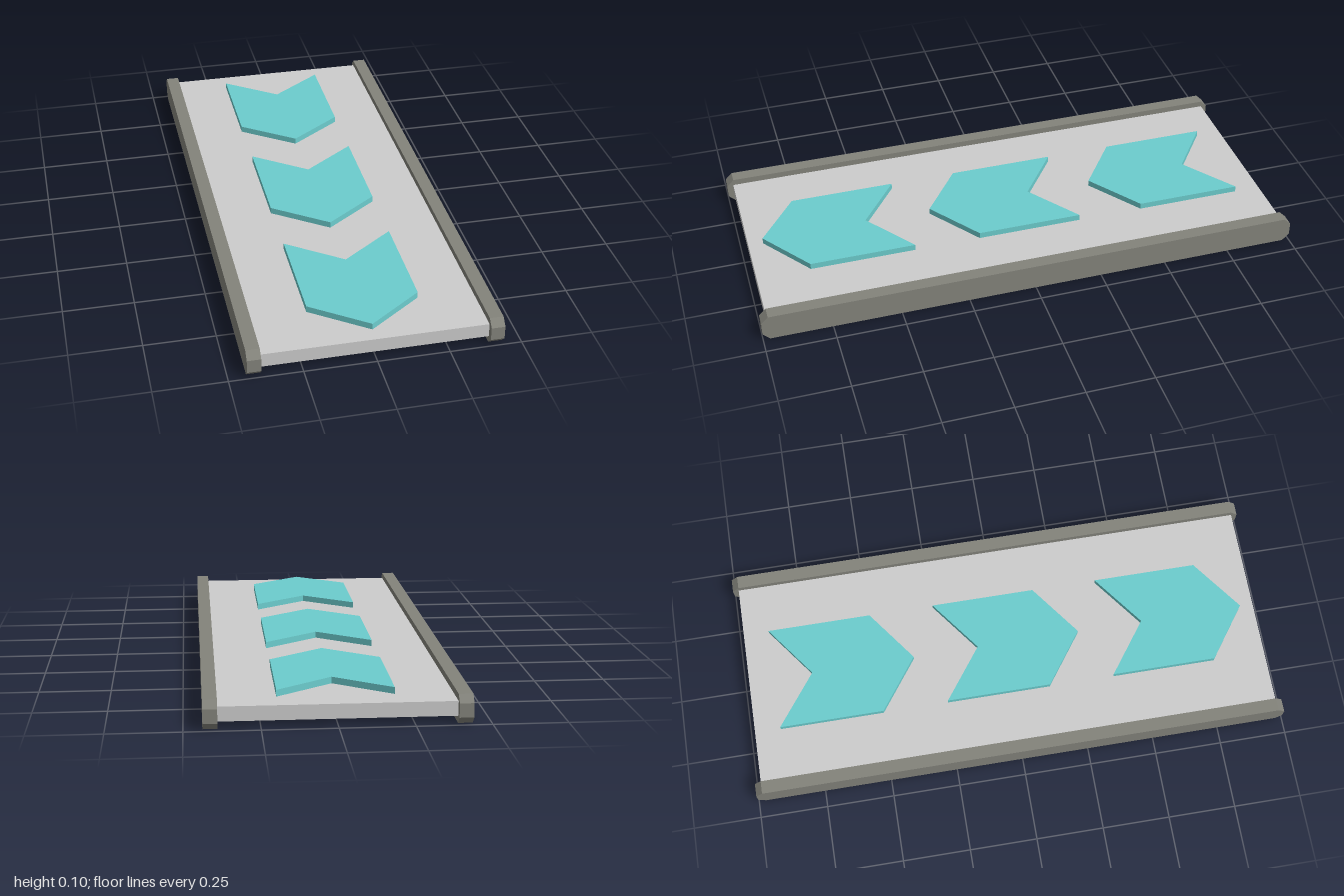
import * as THREE from 'three';

function material(name, color) {
  const m = new THREE.MeshStandardMaterial({ color });
  m.name = name;
  return m;
}

// Flat prism from an outline of [x, y] points
function prism(points, depth) {
  const shape = new THREE.Shape(points.map(([x, y]) => new THREE.Vector2(x, y)));
  return new THREE.ExtrudeGeometry(shape, { depth, bevelEnabled: false });
}

export function createModel() {
  const model = new THREE.Group();
  model.name = 'conveyor';
  const beltGrey = material('belt grey', 0xcccccc);
  const railGrey = material('rail grey', 0x83837b);
  const arrowTeal = material('arrow teal', 0x6ccccd);

  const add = (name, geometry, mat) => {
    const mesh = new THREE.Mesh(geometry, mat);
    mesh.name = name;
    model.add(mesh);
    return mesh;
  };

  // Belt slab between the rails
  add('belt', new THREE.BoxGeometry(0.78, 0.05, 1.955), beltGrey).position.y = 0.05;

  // Side rails with chamfered ends
  const height = 0.098, width = 0.048, c = 0.025;
  const railOutline = [
    [-1 + c, 0], [1 - c, 0], [1, c], [1, height - c],
    [1 - c, height], [-1 + c, height], [-1, height - c], [-1, c],
  ];
  for (const side of [-1, 1]) {
    const geometry = prism(railOutline, width);
    geometry.translate(0, 0, -width / 2);
    geometry.rotateY(Math.PI / 2);
    add(side > 0 ? 'leftRail' : 'rightRail', geometry, railGrey).position.x = side * 0.414;
  }

  // Three raised chevrons pointing to the front
  const chevron = [
    [-0.195, -0.245], [0, -0.1], [0.195, -0.245],
    [0.195, 0.145], [0, 0.288], [-0.195, 0.145],
  ];
  for (let i = -1; i <= 1; i++) {
    const geometry = prism(chevron, 0.03);
    geometry.rotateX(Math.PI / 2);
    add('arrow' + (i + 2), geometry, arrowTeal).position.set(0, height, i * 0.635);
  }

  return model;
}
